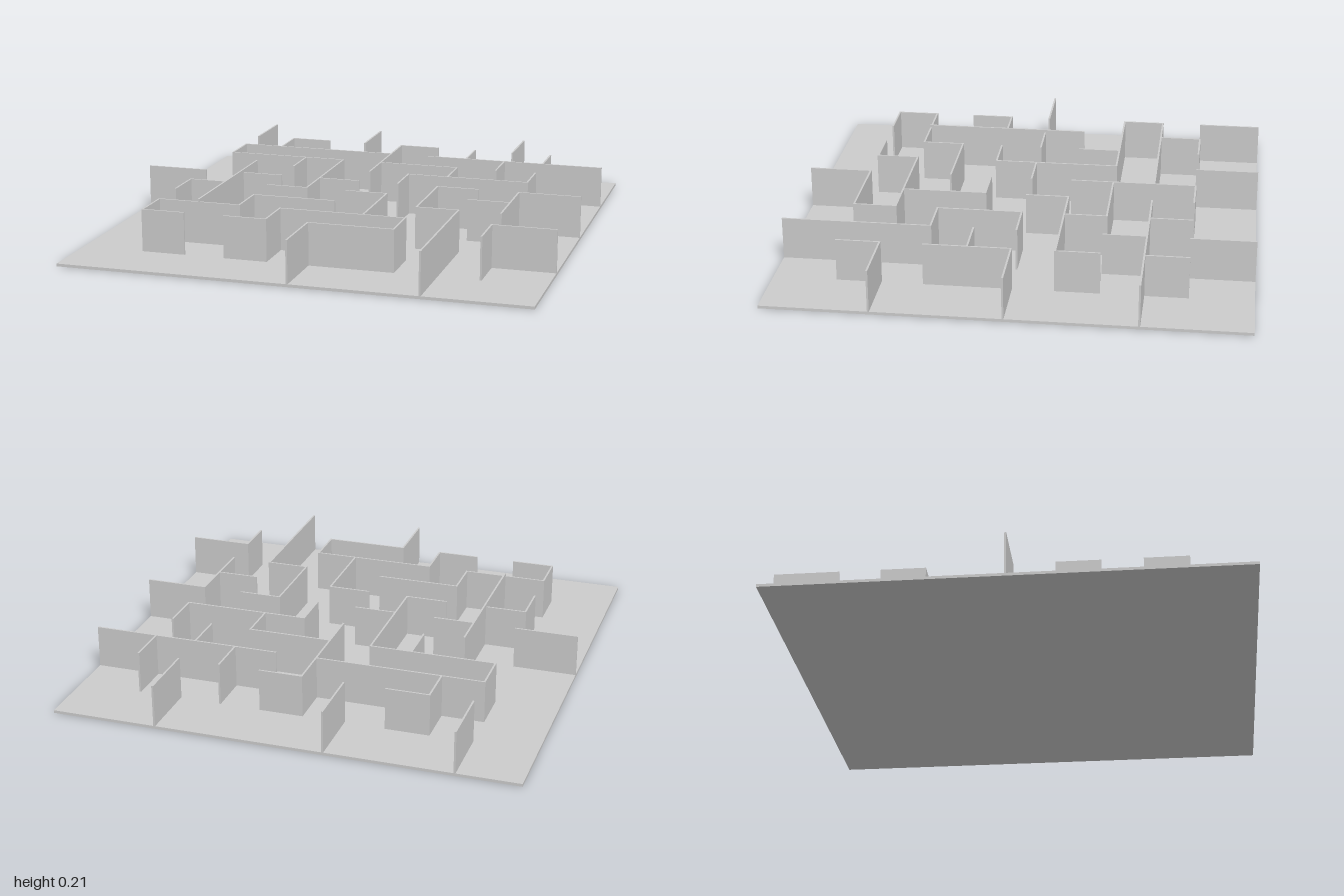
import * as THREE from 'three';

const CELL = 2 / 11;      // spacing of the maze grid
const BASE = 0.012;       // floor thickness
const TOP = 0.195;        // top of the ordinary walls
const THICK = 0.008;

// Walls in grid units: line position -> [from, to] runs along it
const WALLS_ALONG_Z = {
  '-4': [[-5.5, -4], [-3, -2], [1, 2], [3, 4]],
  '-3': [[-4, -3], [-1, 3, 0.208]],   // third value: a taller wall
  '-2': [[-2, -1], [2, 3]],
  '-1': [[-5.5, -4], [-2, 1], [3, 4]],
  '0': [[-4, -1], [4, 5.5]],
  '1': [[-1, 0], [1, 3]],
  '2': [[-4, -3], [-2, -1], [0, 2], [3, 4]],
  '3': [[-5.5, -4], [-3, -2], [2, 5.5]],
  '4': [[-4, -3], [-2, -1], [0, 2], [3, 4]],
};
const WALLS_ALONG_X = {
  '-4': [[-3, -2], [0, 1]],
  '-3': [[-4, 0], [1, 5.5]],
  '-2': [[-4, -1], [0, 2]],
  '-1': [[1, 4]],
  '0': [[-5.5, -4], [-3, -2], [-1, 0], [2, 3], [4, 5.5]],
  '1': [[-4, -3], [-2, -1], [0, 1], [3, 4]],
  '2': [[-2, 0], [2, 3]],
  '3': [[-4, -2], [-1, 2], [4, 5.5]],
  '4': [[-4, -3], [-2, -1], [0, 2]],
};

export function createModel() {
  const model = new THREE.Group();
  model.name = 'maze';
  const material = new THREE.MeshStandardMaterial({ color: 0xcccccc });

  // Floor slab
  const floor = new THREE.Mesh(new THREE.BoxGeometry(2, BASE, 2), material);
  floor.name = 'floor';
  floor.position.y = BASE / 2;
  model.add(floor);

  // Upright walls, lengthened by half their thickness to close the corners
  function addWalls(table, alongX) {
    const group = new THREE.Group();
    group.name = alongX ? 'crossWalls' : 'lengthWalls';
    for (const [line, runs] of Object.entries(table)) {
      for (const [from, to, top = TOP] of runs) {
        const a = Math.max(-1, from * CELL - THICK / 2);
        const b = Math.min(1, to * CELL + THICK / 2);
        const height = top - BASE;
        const size = alongX ? [b - a, height, THICK] : [THICK, height, b - a];
        const wall = new THREE.Mesh(new THREE.BoxGeometry(...size), material);
        wall.name = 'wall';
        const mid = (a + b) / 2, offset = Number(line) * CELL, y = BASE + height / 2;
        wall.position.set(alongX ? mid : offset, y, alongX ? offset : mid);
        group.add(wall);
      }
    }
    model.add(group);
  }
  addWalls(WALLS_ALONG_Z, false);
  addWalls(WALLS_ALONG_X, true);

  return model;
}
